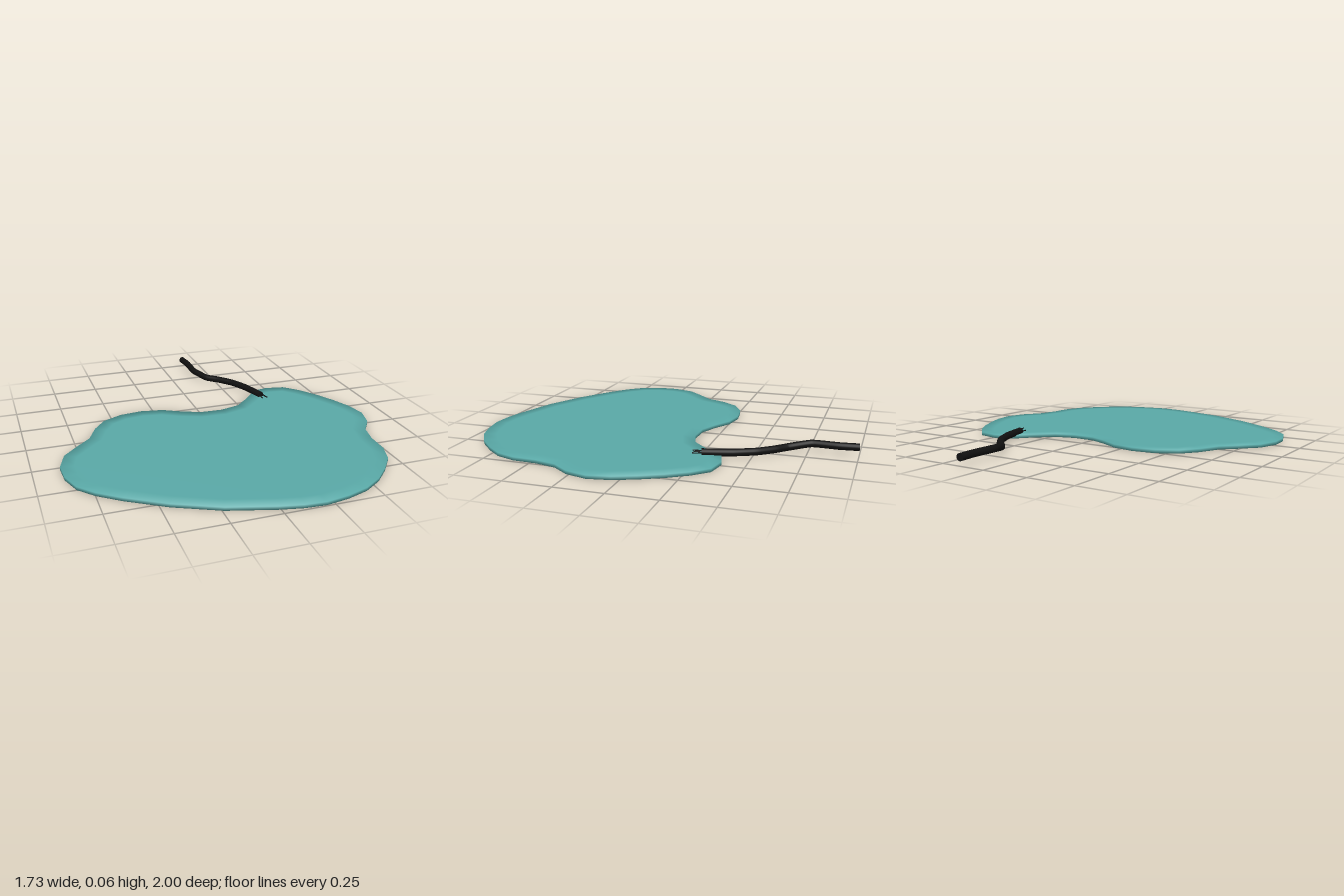
import * as THREE from 'three';

const teal = new THREE.MeshStandardMaterial({ name: 'teal', color: 0x5aaaa8 });
const black = new THREE.MeshStandardMaterial({ name: 'black', color: 0x111111 });

// Outline of the pad seen from above, as x, z pairs
const OUTLINE = [
  0.405, -0.365, 0.49, -0.386, 0.60, -0.365, 0.675, -0.286, 0.74, -0.185,
  0.796, -0.074, 0.84, 0.037, 0.86, 0.153, 0.83, 0.265, 0.765, 0.355,
  0.738, 0.47, 0.733, 0.593, 0.696, 0.70, 0.627, 0.788, 0.542, 0.873,
  0.442, 0.937, 0.33, 0.974, 0.21, 0.995, 0.103, 0.987, -0.008, 0.963,
  -0.24, 0.894, -0.458, 0.788, -0.643, 0.667, -0.75, 0.582, -0.823, 0.497,
  -0.86, 0.386, -0.865, 0.275, -0.828, 0.159, -0.75, 0.074, -0.67, -0.005,
  -0.62, -0.116, -0.553, -0.206, -0.447, -0.26, -0.325, -0.275, -0.204, -0.254,
  -0.103, -0.196, -0.003, -0.153, 0.12, -0.148, 0.23, -0.18, 0.315, -0.26,
];

// Flat slab whose soft normals roll over only along the rim
function padGeometry(height, inset) {
  const pts = [];
  for (let i = 0; i < OUTLINE.length; i += 2) pts.push(new THREE.Vector2(OUTLINE[i], OUTLINE[i + 1]));
  const n = pts.length;
  const outward = pts.map((_, i) => {
    const t = pts[(i + 1) % n].clone().sub(pts[(i + n - 1) % n]).normalize();
    return new THREE.Vector2(t.y, -t.x);
  });
  const inner = pts.map((p, i) => p.clone().addScaledVector(outward[i], -inset));

  // Rings: top inner, top rim, bottom rim, bottom inner
  const rings = [[inner, height, 0, 1], [pts, height, 1, 1], [pts, 0, 1, -1], [inner, 0, 0, -1]];
  const position = [], normal = [], index = [];
  for (const [ring, y, out, up] of rings) {
    ring.forEach((p, i) => {
      position.push(p.x, y, p.y);
      const v = new THREE.Vector3(outward[i].x * out, up, outward[i].y * out).normalize();
      normal.push(v.x, v.y, v.z);
    });
  }
  for (let k = 0; k < 3; k++) {
    for (let i = 0; i < n; i++) {
      const j = (i + 1) % n, a = k * n, b = a + n;
      index.push(b + j, b + i, a + i, b + j, a + i, a + j);
    }
  }
  // Top and bottom caps
  for (const [a, b, c] of THREE.ShapeUtils.triangulateShape(inner, [])) {
    const area = inner[b].clone().sub(inner[a]).cross(inner[c].clone().sub(inner[a]));
    const [p, q] = area > 0 ? [c, b] : [b, c];
    index.push(a, p, q, 3 * n + a, 3 * n + q, 3 * n + p);
  }
  const g = new THREE.BufferGeometry();
  g.setAttribute('position', new THREE.Float32BufferAttribute(position, 3));
  g.setAttribute('normal', new THREE.Float32BufferAttribute(normal, 3));
  g.setIndex(index);
  return g;
}

// Round cable with flat closed ends
function cable(name, points, radius, segments, sides) {
  const group = new THREE.Group();
  group.name = name;
  const curve = new THREE.CatmullRomCurve3(points.map((p) => new THREE.Vector3(...p)), false, 'catmullrom', 0.2);
  group.add(new THREE.Mesh(new THREE.TubeGeometry(curve, segments, radius, sides), black));
  for (const [t, sign] of [[0, -1], [1, 1]]) {
    const cap = new THREE.Mesh(new THREE.CircleGeometry(radius, sides), black);
    const end = curve.getPoint(t);
    cap.position.copy(end);
    cap.lookAt(end.clone().addScaledVector(curve.getTangent(t), sign));
    group.add(cap);
  }
  group.children.forEach((m, i) => { m.name = i ? name + 'End' : name + 'Sleeve'; });
  return group;
}

export function createModel() {
  const model = new THREE.Group();
  model.name = 'padWithCord';

  const pad = new THREE.Mesh(padGeometry(0.018, 0.07), teal);
  pad.name = 'pad';
  model.add(pad);

  // Cord lying on the pad and trailing off the back
  model.add(cable('cord', [
    [0.14, 0.042, -1], [0.15, 0.042, -0.9], [0.148, 0.042, -0.765], [0.198, 0.028, -0.656],
    [0.257, 0.028, -0.598], [0.32, 0.028, -0.519], [0.368, 0.028, -0.418],
    [0.394, 0.028, -0.328], [0.41, 0.028, -0.265],
  ], 0.019, 48, 16));

  // Bare wires fanning out of the cord's end
  [[0.405, 0.026], [0.42, 0.037], [0.433, 0.027]].forEach(([x, y], i) => {
    model.add(cable('wire' + (i + 1), [
      [0.402 + i * 0.008, y, -0.28], [x, y, -0.222],
    ], 0.003, 2, 8));
  });
  return model;
}
